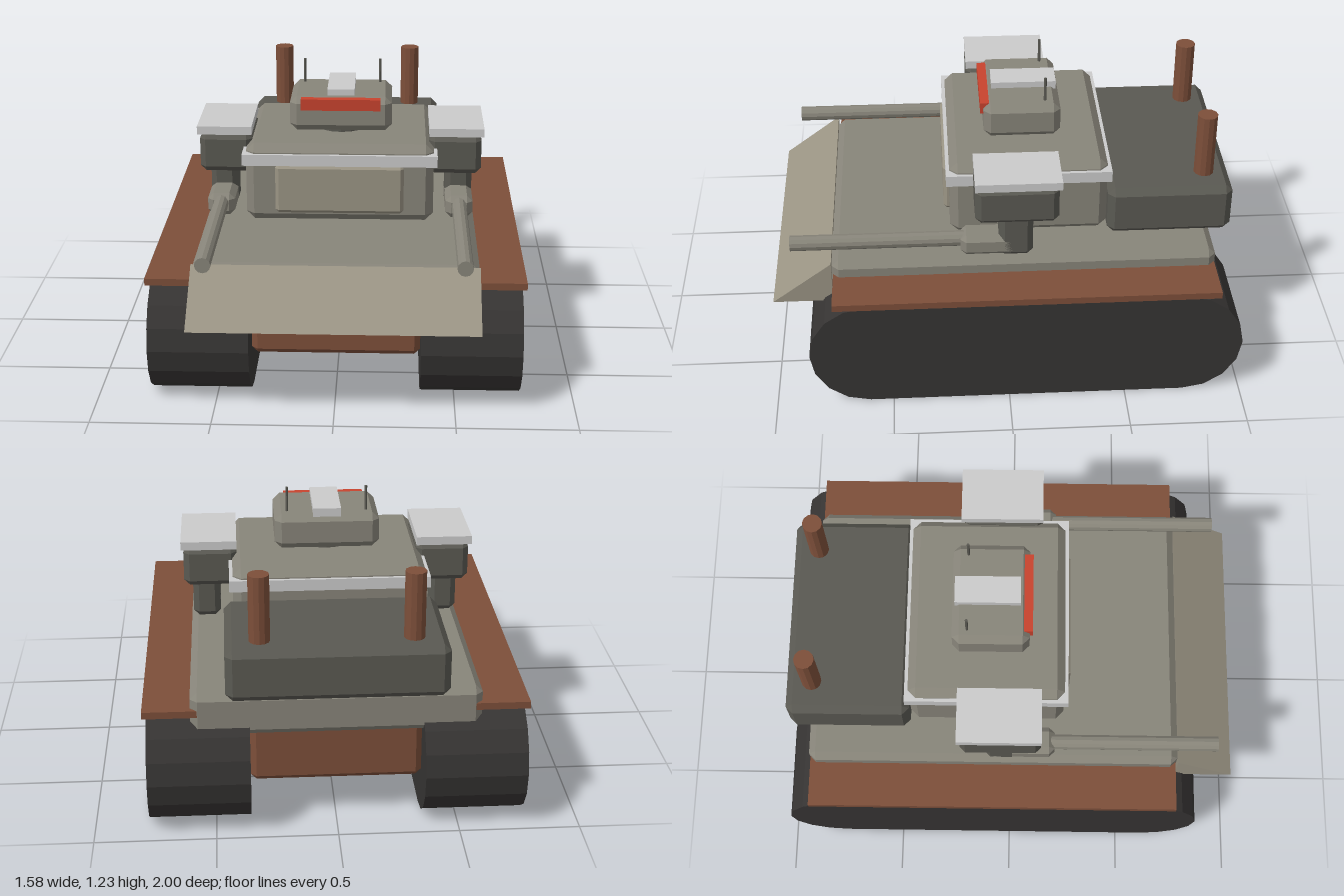
import * as THREE from 'three';
import { ConvexGeometry } from 'three/addons/geometries/ConvexGeometry.js';

const paint = (color) => new THREE.MeshStandardMaterial({ color, flatShading: true });
const armour = paint(0x88857a);
const plateGrey = paint(0x9a9484);
const dark = paint(0x5a5952);
const rust = paint(0x7d4f3a);
const light = paint(0xbcbcbe);
const red = paint(0xc8432e);
const rubber = paint(0x363433);

export function createModel() {
  const model = new THREE.Group();

  const add = (name, geometry, material) => {
    const mesh = new THREE.Mesh(geometry, material);
    mesh.name = name;
    model.add(mesh);
    return mesh;
  };

  // Plain box from its limits
  const box = (name, x0, x1, y0, y1, z0, z1, material) =>
    add(name, new THREE.BoxGeometry(x1 - x0, y1 - y0, z1 - z0), material)
      .position.set((x0 + x1) / 2, (y0 + y1) / 2, (z0 + z1) / 2);

  // Box with every edge cut by c
  const chamferBox = (name, x0, x1, y0, y1, z0, z1, c, material) => {
    const half = [(x1 - x0) / 2, (y1 - y0) / 2, (z1 - z0) / 2];
    const points = [];
    for (const sx of [-1, 1]) for (const sy of [-1, 1]) for (const sz of [-1, 1])
      for (let axis = 0; axis < 3; axis++) {
        const [x, y, z] = half.map((h, i) => (i === axis ? h : h - c));
        points.push(new THREE.Vector3(sx * x, sy * y, sz * z));
      }
    add(name, new ConvexGeometry(points), material)
      .position.set((x0 + x1) / 2, (y0 + y1) / 2, (z0 + z1) / 2);
  };

  // Side profile of [z, y] points, extruded from x0 to x1
  const sideExtrude = (name, profile, x0, x1, material) => {
    const shape = new THREE.Shape(profile.map(([z, y]) => new THREE.Vector2(-z, y)));
    const geometry = new THREE.ExtrudeGeometry(shape, { depth: x1 - x0, bevelEnabled: false });
    geometry.rotateY(Math.PI / 2).translate(x0, 0, 0);
    add(name, geometry, material);
  };

  const post = (name, r, x, z, y0, y1, sides, material) =>
    add(name, new THREE.CylinderGeometry(r, r, y1 - y0, sides), material)
      .position.set(x, (y0 + y1) / 2, z);

  // Limits of a part on the left (s = 1) or right (s = -1)
  const span = (s, a, b) => (s > 0 ? [a, b] : [-b, -a]);

  // Hull
  chamferBox('lowerHull', -0.355, 0.355, 0.175, 0.48, -0.85, 0.7, 0.025, rust);
  chamferBox('upperHull', -0.595, 0.595, 0.41, 0.6, -0.892, 0.745, 0.03, armour);
  sideExtrude('frontPlate', [[0.745, 0.41], [1, 0.41], [0.745, 0.6]], -0.595, 0.595, plateGrey);

  // Engine box behind the turret
  chamferBox('engineBox', -0.45, 0.45, 0.6, 0.825, -0.975, -0.44, 0.03, dark);

  // Turret
  chamferBox('turret', -0.41, 0.41, 0.6, 0.95, -0.44, 0.235, 0.035, armour);
  box('turretBand', -0.425, 0.425, 0.86, 0.91, -0.455, 0.25, light);
  chamferBox('mantlet', -0.28, 0.28, 0.645, 0.865, 0.1, 0.26, 0.015, plateGrey);

  // Head on top of the turret
  post('neck', 0.115, 0, -0.08, 0.93, 0.98, 16, dark);
  chamferBox('head', -0.225, 0.225, 0.965, 1.12, -0.25, 0.08, 0.03, armour);
  box('visor', -0.175, 0.175, 1.065, 1.115, 0.05, 0.093, red);
  box('headPlate', -0.06, 0.06, 1.11, 1.147, -0.24, 0.04, light);

  // Outline of a track: two half circles joined by straight runs
  const trackProfile = [];
  for (const [centre, start] of [[0.6, -Math.PI / 2], [-0.75, Math.PI / 2]])
    for (let i = 0; i <= 8; i++) {
      const a = start + (i * Math.PI) / 8;
      trackProfile.push([centre + 0.25 * Math.cos(a), 0.25 + 0.25 * Math.sin(a)]);
    }

  for (const s of [1, -1]) {
    const side = s > 0 ? 'left' : 'right';
    // Running gear
    sideExtrude(side + 'Track', trackProfile, ...span(s, 0.355, 0.775), rubber);
    box(side + 'Fender', ...span(s, 0.34, 0.79), 0.5, 0.53, -0.89, 0.74, rust);
    // Exhaust and antenna
    post(side + 'Exhaust', 0.043, s * 0.31, -0.865, 0.8, 1.11, 12, rust);
    post(side + 'Antenna', 0.006, s * 0.17, -0.185, 1.1, 1.228, 6, dark);
    // Side gun with the pod above it
    chamferBox(side + 'Pillar', ...span(s, 0.465, 0.585), 0.6, 0.81, -0.11, 0.035, 0.025, dark);
    chamferBox(side + 'Breech', ...span(s, 0.465, 0.585), 0.605, 0.705, -0.095, 0.197, 0.025, armour);
    const barrel = add(side + 'Barrel', new THREE.CylinderGeometry(0.033, 0.033, 0.815, 12), armour);
    barrel.rotation.x = Math.PI / 2;
    barrel.position.set(s * 0.525, 0.665, 0.5075);
    chamferBox(side + 'Pod', ...span(s, 0.39, 0.62), 0.79, 0.965, -0.215, 0.135, 0.025, dark);
    box(side + 'PodPlate', ...span(s, 0.39, 0.63), 0.963, 1.0, -0.225, 0.135, light);
  }

  return model;
}
